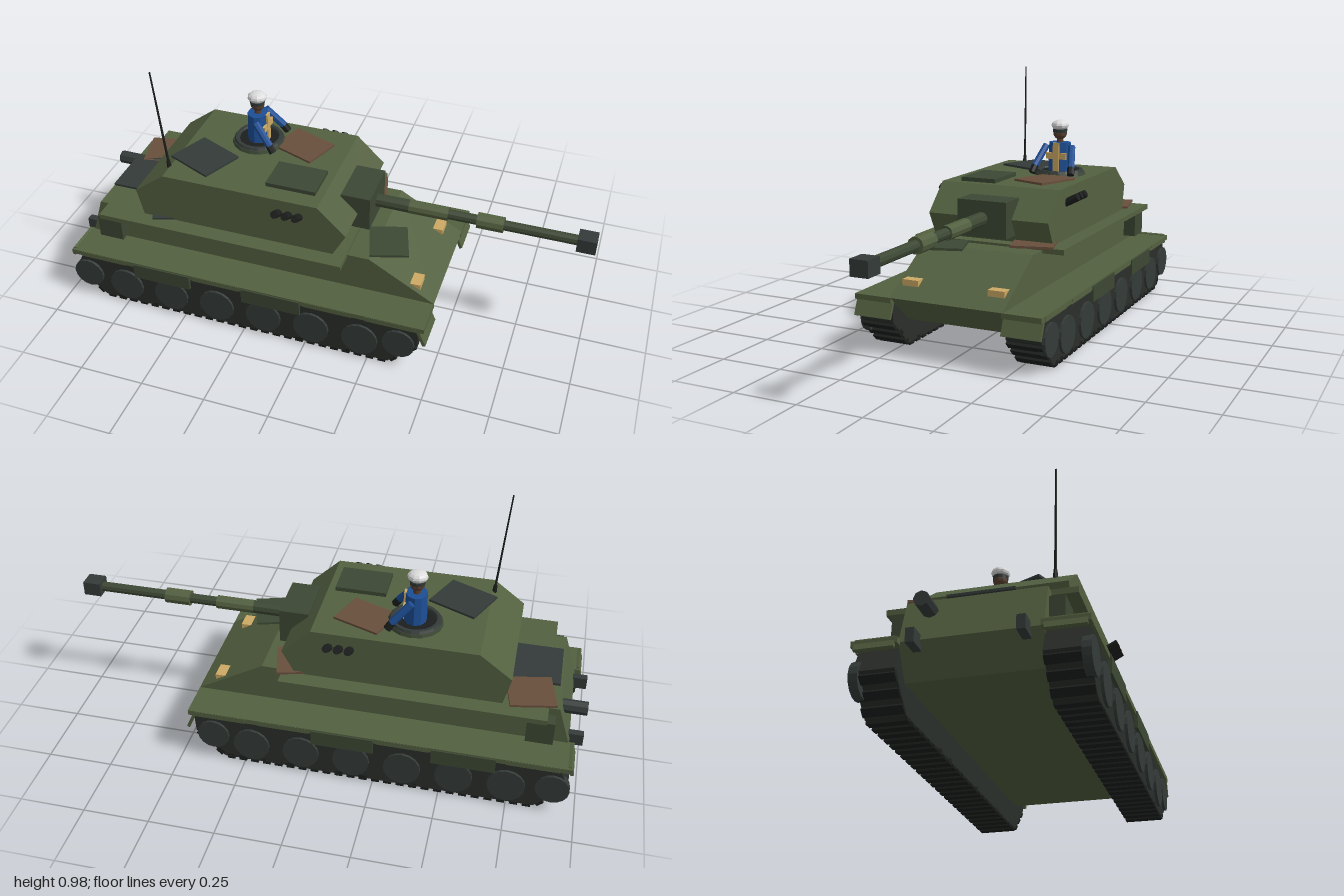
import * as THREE from 'three';

const mat = (name, color) => {
  const m = new THREE.MeshStandardMaterial({ color });
  m.name = name;
  m.flatShading = true;
  return m;
};

export function createModel() {
  const olive = mat('olive', 0x536040);
  const darkGreen = mat('dark green', 0x3d4834);
  const charcoal = mat('charcoal', 0x343b39);
  const rubber = mat('track rubber', 0x2a2e2a);
  const black = mat('black', 0x1c1f1d);
  const brown = mat('brown', 0x694f3d);
  const tan = mat('tan', 0xcda963);
  const blue = mat('blue', 0x1d4f96);
  const white = mat('white', 0xdcdcdc);
  const skin = mat('skin', 0x5a4030);

  const tank = new THREE.Group();
  tank.name = 'tank';
  const add = (name, geo, m, x = 0, y = 0, z = 0) => {
    const mesh = new THREE.Mesh(geo, m);
    mesh.name = name;
    mesh.position.set(x, y, z);
    tank.add(mesh);
    return mesh;
  };
  // box given by its min and max corners
  const box = (name, m, x0, x1, y0, y1, z0, z1) =>
    add(name, new THREE.BoxGeometry(x1 - x0, y1 - y0, z1 - z0), m,
      (x0 + x1) / 2, (y0 + y1) / 2, (z0 + z1) / 2);
  // side outline extruded across the width, centred on z
  const slab = (name, m, pts, width, z = 0) => {
    const shape = new THREE.Shape(pts.map(p => new THREE.Vector2(p[0], p[1])));
    const geo = new THREE.ExtrudeGeometry(shape, { depth: width, bevelEnabled: false });
    return add(name, geo.translate(0, 0, -width / 2), m, 0, 0, z);
  };
  // cylinder between two points
  const rod = (name, m, a, b, r0, r1 = r0, sides = 8) => {
    const p = new THREE.Vector3(...a), q = new THREE.Vector3(...b);
    const d = q.clone().sub(p);
    const mesh = add(name, new THREE.CylinderGeometry(r1, r0, d.length(), sides), m);
    mesh.position.copy(p).add(q).multiplyScalar(0.5);
    mesh.quaternion.setFromUnitVectors(new THREE.Vector3(0, 1, 0), d.normalize());
    return mesh;
  };

  // hull
  slab('hull', olive, [[-0.95, 0.21], [-0.88, 0.105], [0.33, 0.105], [0.465, 0.22],
    [0.21, 0.368], [-0.9, 0.368]], 0.45);
  box('deckPlate', olive, -0.86, 0.125, 0.357, 0.377, -0.31, 0.31);

  // running gear, fenders and side fittings
  const track = [[-0.965, 0.12], [-0.85, 0.012], [0.33, 0.012], [0.44, 0.12], [0.445, 0.2], [-0.93, 0.2]];
  const wheels = [[-0.91, 0.112, 0.062], [0.37, 0.118, 0.062]];
  for (let i = 0; i < 6; i++) wheels.push([-0.745 + i * 0.193, 0.095, 0.07]);
  for (const s of [-1, 1]) {
    slab('track', rubber, track, 0.135, s * 0.2925);
    // pads along the lower run and both ramps
    for (let e = 0; e < 3; e++) {
      const [ax, ay] = track[e], [bx, by] = track[e + 1];
      const len = Math.hypot(bx - ax, by - ay), n = Math.round(len / 0.047);
      for (let i = 0; i < n; i++) {
        const t = (i + 0.5) / n;
        const pad = add('trackPad', new THREE.BoxGeometry(0.03, 0.022, 0.135), black,
          ax + (bx - ax) * t, ay + (by - ay) * t, s * 0.2925);
        pad.rotation.z = Math.atan2(by - ay, bx - ax);
      }
    }
    for (const [x, y, r] of wheels)
      rod('roadWheel', charcoal, [x, y, s * 0.34], [x, y, s * 0.37], r, r, 16);

    box('fender', olive, -0.97, 0.465, 0.2, 0.22, s * 0.295 - 0.075, s * 0.295 + 0.075);
    const flap = add('frontMudFlap', new THREE.BoxGeometry(0.012, 0.085, 0.15), olive, 0.452, 0.178, s * 0.295);
    flap.rotation.z = 0.4;
    const rearFlap = add('rearMudFlap', new THREE.BoxGeometry(0.012, 0.04, 0.13), olive, -0.965, 0.205, s * 0.295);
    rearFlap.rotation.z = -0.3;
    for (const x of [-0.7, -0.25])
      box('skirtPanel', darkGreen, x, x + 0.235, 0.153, 0.215, s * 0.369 - 0.006, s * 0.369 + 0.006);
    for (const x of [-0.93, -0.455, -0.005, 0.24])
      box('skirtTrim', olive, x, x + 0.195, 0.198, 0.218, s * 0.367 - 0.004, s * 0.367 + 0.004);
    box('stowageBox', darkGreen, -0.89, -0.79, 0.242, 0.337, s * 0.248 - 0.028, s * 0.248 + 0.028);
    box('headlight', tan, 0.36, 0.405, 0.25, 0.278, s * 0.172 - 0.033, s * 0.172 + 0.033);
    box('towHook', charcoal, -1, -0.92, 0.18, 0.228, s * 0.17 - 0.014, s * 0.17 + 0.014);
    // smoke launchers
    for (const x of [-0.134, -0.094, -0.054])
      rod('smokeLauncher', black, [x, 0.515, s * 0.24], [x, 0.543, s * 0.293], 0.015);
  }
  rod('exhaust', charcoal, [-1, 0.322, -0.14], [-0.88, 0.322, -0.14], 0.026);
  rod('exhaustMouth', black, [-1, 0.322, -0.14], [-0.998, 0.322, -0.14], 0.018);

  // turret and gun
  slab('turret', olive, [[-0.695, 0.377], [0.075, 0.377], [0.125, 0.47], [0.015, 0.576],
    [-0.6, 0.576], [-0.72, 0.485]], 0.494);
  box('mantlet', darkGreen, 0.058, 0.172, 0.405, 0.543, -0.1, 0.1);
  const gunY = 0.475;
  for (const [m, x0, x1, r] of [[darkGreen, 0.16, 0.45, 0.026], [darkGreen, 0.44, 0.94, 0.02],
    [olive, 0.3, 0.45, 0.027], [olive, 0.56, 0.66, 0.031]])
    rod('gunBarrel', m, [x0, gunY, 0], [x1, gunY, 0], r, r, 10);
  box('muzzleBrake', charcoal, 0.93, 1, 0.447, 0.503, -0.033, 0.033);

  // turret roof
  const cx = -0.345, cz = -0.098;
  add('hatchBase', new THREE.CylinderGeometry(0.1, 0.105, 0.014, 16), darkGreen, cx, 0.581, cz);
  add('hatchRing', new THREE.TorusGeometry(0.086, 0.012, 6, 20).rotateX(Math.PI / 2), charcoal, cx, 0.587, cz);
  add('hatchOpening', new THREE.CylinderGeometry(0.075, 0.075, 0.004, 16), black, cx, 0.589, cz);
  box('roofHatch', darkGreen, -0.21, -0.015, 0.575, 0.592, 0.035, 0.18);
  rod('antenna', black, [-0.605, 0.576, 0.174], [-0.637, 0.985, 0.185], 0.005, 0.003, 6);
  rod('antennaBase', black, [-0.605, 0.57, 0.174], [-0.607, 0.6, 0.175], 0.009, 0.007);

  // flat camouflage panels: x, y, z, length, width, turn
  for (const [m, x, y, z, l, w, turn] of [
    [charcoal, -0.497, 0.58, 0.083, 0.195, 0.17, -0.42],
    [brown, -0.163, 0.58, -0.11, 0.185, 0.15, -0.36],
    [charcoal, -0.805, 0.382, 0.01, 0.175, 0.22, 0],
    [brown, -0.79, 0.382, -0.165, 0.17, 0.165, 0.2],
    [brown, 0.1, 0.382, -0.18, 0.12, 0.16, 0.25],
    [charcoal, -0.62, 0.38, 0.2, 0.1, 0.12, 0.3],
    [darkGreen, 0.255, 0.382, 0.118, 0.145, 0.17, 0.3],
  ]) add('camouflagePanel', new THREE.BoxGeometry(l, 0.009, w), m, x, y, z).rotation.y = turn;

  // crew member
  add('torso', new THREE.CylinderGeometry(0.046, 0.05, 0.125, 10), blue, cx, 0.643, cz).scale.x = 0.85;
  box('chestStripe', tan, cx + 0.036, cx + 0.045, 0.59, 0.706, cz - 0.013, cz + 0.013);
  box('chestBand', tan, cx + 0.034, cx + 0.0435, 0.64, 0.666, cz - 0.043, cz + 0.043);
  for (const s of [-1, 1]) {
    rod('arm', blue, [cx + 0.01, 0.69, cz + s * 0.055], [cx + 0.075, 0.613, cz + s * 0.078], 0.015);
    rod('glove', black, [cx + 0.072, 0.615, cz + s * 0.077], [cx + 0.09, 0.588, cz + s * 0.083], 0.015);
  }
  add('neck', new THREE.CylinderGeometry(0.013, 0.015, 0.03, 8), skin, cx, 0.713, cz);
  add('head', new THREE.SphereGeometry(0.028, 10, 8), skin, cx, 0.743, cz);
  add('capBand', new THREE.CylinderGeometry(0.03, 0.028, 0.014, 12), charcoal, cx, 0.752, cz);
  add('cap', new THREE.SphereGeometry(0.035, 10, 8), white, cx, 0.774, cz).scale.set(1.1, 0.62, 1);

  return tank;
}
